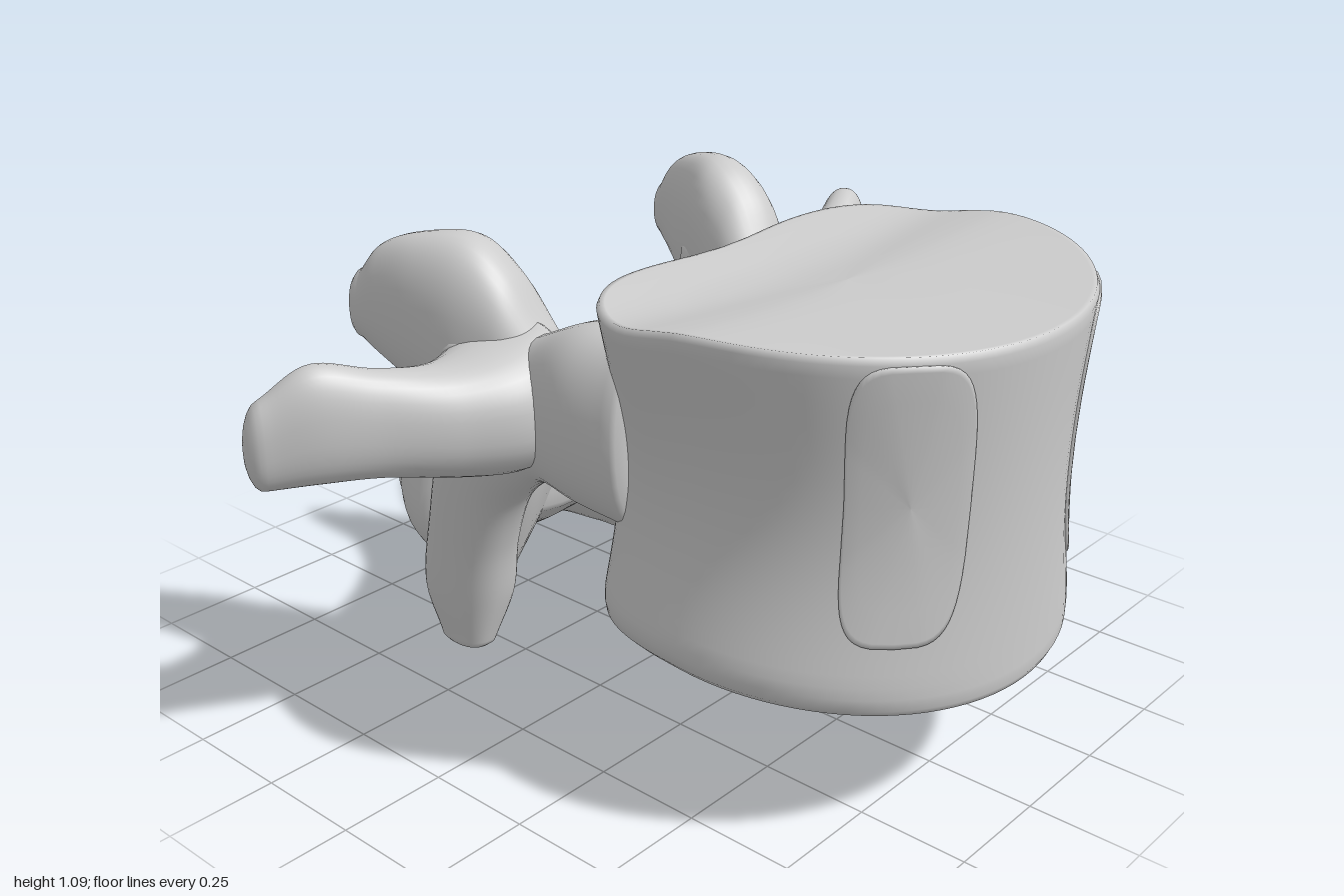
import * as THREE from 'three';

const bone = new THREE.MeshStandardMaterial({ color: 0xcccccc });
const V = (a) => new THREE.Vector3(...a);
const spow = (v, e) => Math.sign(v) * Math.abs(v) ** e;

// Skin over a list of closed rings (all with the same number of points)
function skin(name, rings) {
  const n = rings[0].length, idx = [];
  for (let i = 0; i < rings.length - 1; i++)
    for (let j = 0; j < n; j++) {
      const a = i * n + j, b = i * n + (j + 1) % n;
      idx.push(a, b, b + n, a, b + n, a + n);
    }
  const pts = rings.flat();
  // Turn the faces outward by the sign of the enclosed volume
  let vol = 0;
  const c = new THREE.Vector3();
  for (let i = 0; i < idx.length; i += 3)
    vol += pts[idx[i]].dot(c.crossVectors(pts[idx[i + 1]], pts[idx[i + 2]]));
  if (vol < 0) idx.reverse();
  const g = new THREE.BufferGeometry().setFromPoints(pts);
  g.setIndex(idx);
  g.computeVertexNormals();
  const mesh = new THREE.Mesh(g, bone);
  mesh.name = name;
  return mesh;
}

// Smooth loft. Section: [centre, half axis u, half axis v]; pinch thins the +v side
function loft(name, sections, { cap = 0.03, pinch = 0, side = 1 } = {}) {
  const [C, U, W] = [0, 1, 2].map((k) => new THREE.CatmullRomCurve3(
    sections.map((s) => V([s[k][0] * side, s[k][1], s[k][2]])), false, 'catmullrom', 0.5));
  const ring = (t, scale, shift) => {
    const c = C.getPoint(t), u = U.getPoint(t), w = W.getPoint(t), out = [];
    c.addScaledVector(C.getTangent(t), shift);
    for (let j = 0; j < 36; j++) {
      const a = j / 36 * Math.PI * 2;
      const p = spow(Math.cos(a), 0.87), q = spow(Math.sin(a), 0.87);
      out.push(c.clone().addScaledVector(u, p * scale * (1 - pinch * q)).addScaledVector(w, q * scale));
    }
    return out;
  };
  const rings = [], steps = 44;
  const round = [0, 1, 2, 3, 4].map((k) => k / 5 * Math.PI / 2);
  for (const a of round) rings.push(ring(0, Math.sin(a), -cap * Math.cos(a)));
  for (let i = 0; i <= steps; i++) rings.push(ring(i / steps, 1, 0));
  for (const a of round.reverse()) rings.push(ring(1, Math.sin(a), cap * Math.cos(a)));
  return skin(name, rings);
}

// Point of the vertebral body: angle from the front, cap scale r, height t (0 to 1)
function bodyPoint(angle, r, t) {
  const s = Math.sin(angle), c = Math.cos(angle);
  const e = c >= 0 ? 1 : 2 / 3;
  const waist = Math.max(0, Math.sin(Math.PI * t));
  const rim = 1 - 0.05 * Math.max(0, 1 - t / 0.1) ** 2;
  const x = 0.545 * spow(s, e) * r * rim * (1 - 0.12 * waist ** 1.2);
  const depth = c >= 0 ? 0.485 : 0.365;
  let z = 0.48 + depth * spow(c, e) * r * (1 - 0.03 * waist);
  if (c < 0) z += 0.03 * r * c * c * Math.exp(-((x / 0.22) ** 2));
  const low = 0.355 - 0.06 * (z - 0.1) / 0.86 + 0.02 * (x / 0.5) ** 2;
  const high = 1.045 + 0.025 * (x / 0.5) ** 2 - 0.03 * Math.exp(-(((z - 0.32) / 0.13) ** 2));
  return new THREE.Vector3(x, low + (high - low) * t, z);
}

function body() {
  const capScale = [0, 0.25, 0.5, 0.7, 0.85, 0.93, 0.965, 0.985];
  const profile = capScale.map((r) => [r, 0]);
  for (let i = 0; i <= 28; i++) profile.push([1, 0.02 + 0.96 * i / 28]);
  profile.push(...capScale.map((r) => [r, 1]).reverse());
  return skin('vertebralBody', profile.map(([r, t]) =>
    Array.from({ length: 96 }, (_, j) => bodyPoint(j / 96 * Math.PI * 2, r, t))));
}

// Thin raised strip that follows the front of the body
function strip(side) {
  const layers = [[0, 1.012], [0.4, 1.012], [0.75, 1.012], [0.96, 1.012], [1, 1.008], [1, 0.98], [0, 0.98]];
  return skin('frontStrip', layers.map(([k, r]) => Array.from({ length: 48 }, (_, j) => {
    const a = j / 48 * Math.PI * 2;
    const p = spow(Math.cos(a), 0.5) * k, q = spow(Math.sin(a), 0.5) * k;
    return bodyPoint(side * (0.66 + 0.26 * p - 0.02 * q), r, 0.59 + 0.39 * q);
  })));
}

export function createModel() {
  const model = new THREE.Group();
  model.name = 'vertebra';
  model.add(body());

  for (const side of [1, -1]) {
    const half = new THREE.Group();
    half.name = side > 0 ? 'leftSide' : 'rightSide';
    half.add(strip(side));

    // Pedicle running back, then down into the lower joint
    half.add(loft('pedicleAndLowerJoint', [
      [[0.36, 0.76, 0.27], [0.13, 0, 0], [0, 0.22, 0]],
      [[0.39, 0.77, 0.14], [0.125, 0, 0], [0, 0.2, 0]],
      [[0.395, 0.75, 0.02], [0.1, 0, 0], [0, 0.165, -0.01]],
      [[0.385, 0.69, -0.1], [0.1, 0, 0], [0, 0.14, -0.06]],
      [[0.375, 0.54, -0.22], [0.095, 0, 0], [0, 0.07, -0.1]],
      [[0.365, 0.36, -0.285], [0.088, 0, 0], [0, 0.02, -0.11]],
      [[0.355, 0.2, -0.32], [0.085, 0, 0], [0, 0, -0.115]],
      [[0.37, 0.08, -0.315], [0.05, 0, 0], [0, 0, -0.075]],
    ], { side }));

    // Web joining the upper and lower joints
    half.add(loft('jointWeb', [
      [[0.37, 0.48, -0.25], [0.085, 0, 0], [0, 0, 0.09]],
      [[0.39, 0.64, -0.2], [0.105, 0, 0.01], [0, 0, 0.1]],
      [[0.415, 0.76, -0.18], [0.125, 0, 0.01], [0, 0, 0.11]],
      [[0.425, 0.87, -0.19], [0.1, 0, 0.02], [0, 0, 0.1]],
    ], { side, cap: 0.05 }));

    // Wing reaching sideways and slightly back
    half.add(loft('sideWing', [
      [[0.38, 0.77, -0.09], [0, 0, 0.17], [0, 0.16, 0]],
      [[0.5, 0.76, -0.075], [0.01, 0, 0.155], [0, 0.14, 0]],
      [[0.62, 0.765, -0.08], [0.02, 0, 0.1], [0, 0.12, 0]],
      [[0.75, 0.79, -0.115], [0.025, 0, 0.06], [0, 0.115, 0]],
      [[0.87, 0.81, -0.165], [0.025, 0, 0.05], [0, 0.125, 0]],
      [[0.96, 0.78, -0.215], [0.02, 0, 0.04], [0, 0.095, 0]],
    ], { side, cap: 0.04 }));

    // Upright upper joint flaring back and outward
    half.add(loft('upperJoint', [
      [[0.365, 0.8, -0.03], [0.08, 0, 0.02], [0, 0.11, 0]],
      [[0.39, 0.86, -0.1], [0.095, 0, 0.03], [0, 0.165, 0]],
      [[0.42, 0.895, -0.19], [0.1, 0, 0.035], [-0.01, 0.195, 0]],
      [[0.46, 0.91, -0.3], [0.08, 0, 0.03], [0, 0.175, 0]],
      [[0.49, 0.92, -0.39], [0.06, 0, 0.025], [0, 0.13, 0]],
      [[0.505, 0.91, -0.44], [0.05, 0, 0.02], [0, 0.08, 0]],
    ], { side, cap: 0.035 }));
    model.add(half);
  }

  // Sloping plate that closes the canal behind
  const plate = [
    [[0.38, 0.43, -0.25], [0, -0.03, 0.07], [0, 0.27, 0.11]],
    [[0.29, 0.375, -0.28], [0, -0.03, 0.08], [0, 0.29, 0.12]],
    [[0.18, 0.405, -0.32], [0, -0.03, 0.075], [0, 0.265, 0.11]],
    [[0.08, 0.445, -0.36], [0, -0.03, 0.075], [0, 0.25, 0.1]],
  ];
  const mirrored = plate.map(([c, u, v]) => [[-c[0], c[1], c[2]], u, v]).reverse();
  model.add(loft('lamina', [...plate, [[0, 0.47, -0.375], [0, -0.03, 0.08], [0, 0.25, 0.1]], ...mirrored]));

  // Rear spine with a thin upper ridge: [z, top, bottom, half width]
  const spine = [
    [-0.3, 0.715, 0.3, 0.2], [-0.36, 0.69, 0.25, 0.21], [-0.43, 0.655, 0.2, 0.17],
    [-0.51, 0.615, 0.15, 0.105], [-0.6, 0.565, 0.08, 0.068], [-0.7, 0.52, 0.03, 0.055],
    [-0.79, 0.52, 0.0, 0.084], [-0.86, 0.5, 0.02, 0.075], [-0.91, 0.43, 0.06, 0.055], [-0.945, 0.33, 0.12, 0.035],
  ];
  model.add(loft('rearSpine', spine.map(([z, top, low, w]) =>
    [[0, (top + low) / 2, z], [w, 0, 0], [0, (top - low) / 2, 0]]), { pinch: 0.7, cap: 0.03 }));
  return model;
}
